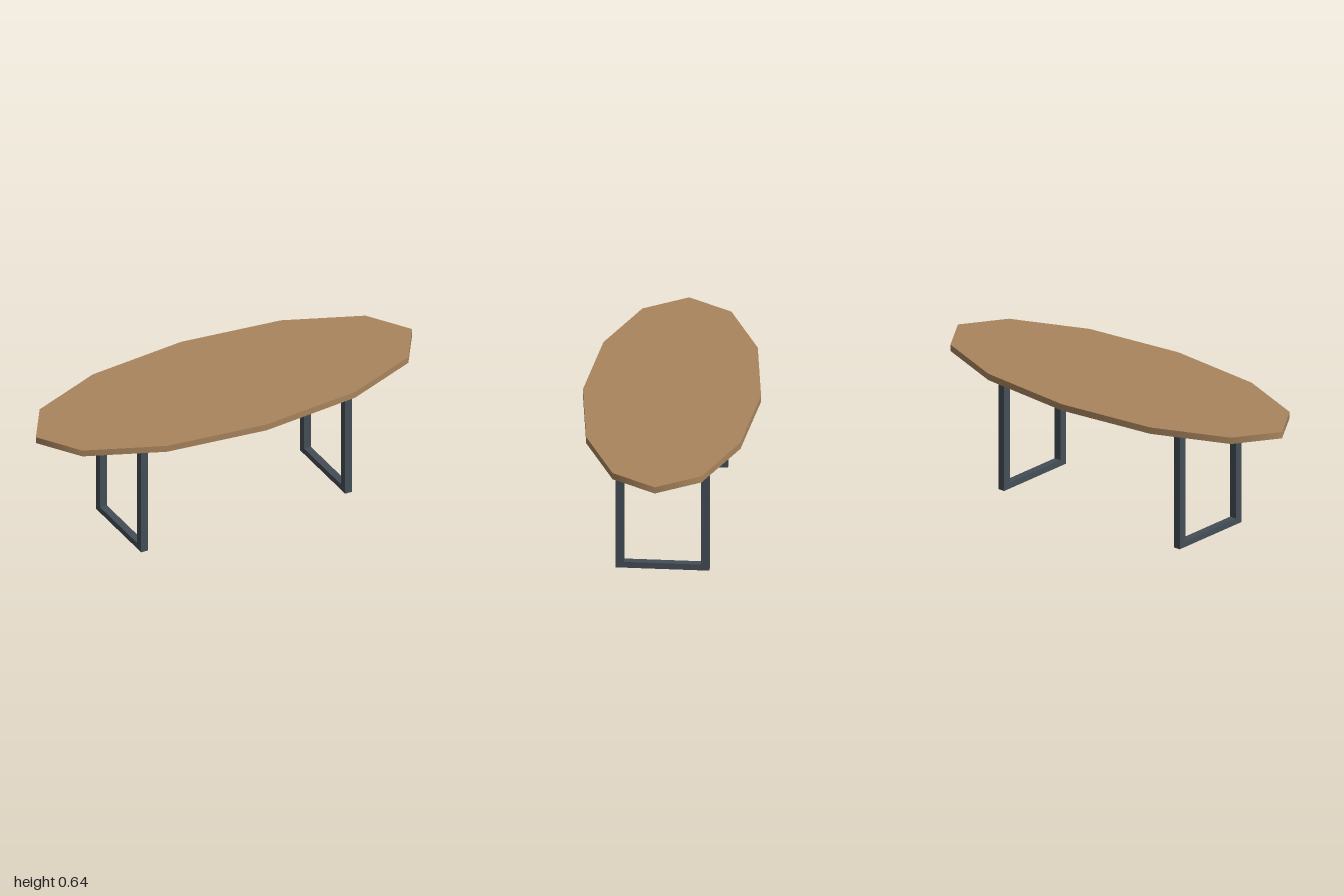
import * as THREE from 'three';

export function createModel() {
  const table = new THREE.Group();
  table.name = 'table';
  const wood = new THREE.MeshStandardMaterial({ name: 'wood', color: 0xa9855d });
  const metal = new THREE.MeshStandardMaterial({ name: 'dark metal', color: 0x444e57 });

  const addBar = (parent, name, size, position) => {
    const bar = new THREE.Mesh(new THREE.BoxGeometry(...size), metal);
    bar.name = name;
    bar.position.set(...position);
    parent.add(bar);
  };

  // Oval top with twelve sides, stretched along x
  const topGeometry = new THREE.CylinderGeometry(1, 1, 0.032, 12);
  topGeometry.scale(1, 1, 0.417);
  const top = new THREE.Mesh(topGeometry, wood);
  top.name = 'tableTop';
  top.position.y = 0.627;
  table.add(top);

  // Rectangular leg frames
  const height = 0.611, width = 0.036, post = 0.04, rail = 0.03;
  for (const side of [-1, 1]) {
    const frame = new THREE.Group();
    frame.name = side > 0 ? 'leftLegFrame' : 'rightLegFrame';
    frame.position.x = side * 0.542;
    for (const end of [-1, 1]) {
      addBar(frame, end > 0 ? 'frontLeg' : 'backLeg', [width, height, post], [0, height / 2, end * 0.2]);
    }
    addBar(frame, 'footRail', [width, rail, 0.36], [0, rail / 2, 0]);
    addBar(frame, 'topRail', [width, rail, 0.36], [0, 0.594, 0]);
    table.add(frame);
  }

  // Stretcher joining the frames under the top
  addBar(table, 'stretcher', [1.05, rail, 0.03], [0, 0.59, 0]);
  return table;
}
